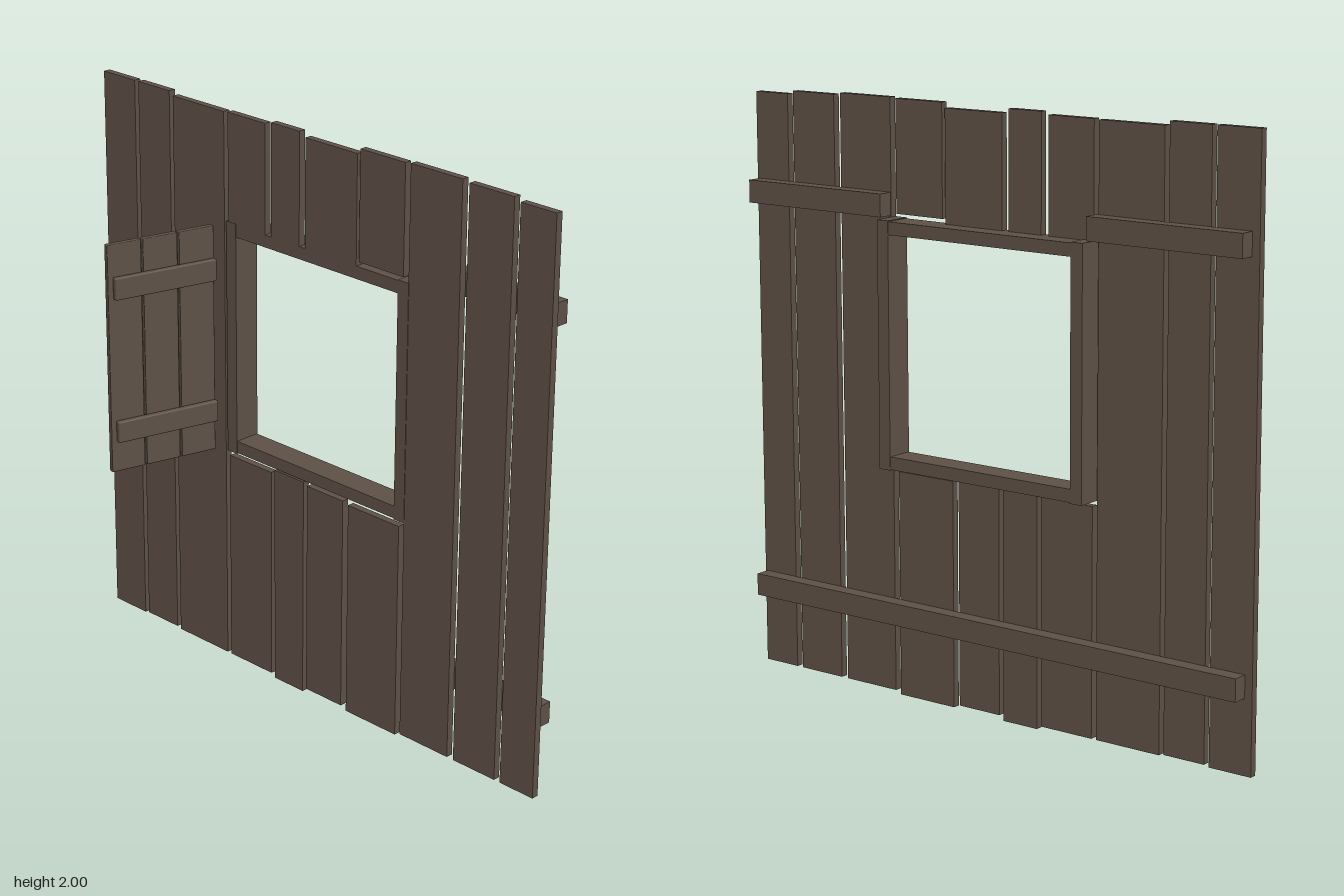
import * as THREE from 'three';
import { RoundedBoxGeometry } from 'three/addons/geometries/RoundedBoxGeometry.js';

const wood = new THREE.MeshStandardMaterial({ color: 0x5e5146 });
wood.name = 'weathered wood';

// Box given by its extents on each axis
function beam(parent, name, [x0, x1], [y0, y1], [z0, z1], bevel = 0) {
  const size = [x1 - x0, y1 - y0, z1 - z0];
  const geometry = bevel
    ? new RoundedBoxGeometry(...size, 1, bevel)
    : new THREE.BoxGeometry(...size);
  const mesh = new THREE.Mesh(geometry, wood);
  mesh.name = name;
  mesh.position.set((x0 + x1) / 2, (y0 + y1) / 2, (z0 + z1) / 2);
  parent.add(mesh);
}

function group(parent, name) {
  const g = new THREE.Group();
  g.name = name;
  parent.add(g);
  return g;
}

export function createModel() {
  const model = new THREE.Group();
  model.name = 'plankWallWithWindow';

  // Wall planks of uneven width and height: x0, x1, y0, y1
  const planks = group(model, 'wallPlanks');
  const plankZ = [-0.188, -0.163];
  const layout = [
    // full height, either side of the window
    [-0.997, -0.843, 0.012, 1.997], [-0.825, -0.673, 0.017, 1.997], [-0.656, -0.413, 0.012, 1.983],
    [0.413, 0.625, 0.016, 2.0], [0.652, 0.83, 0.016, 1.994], [0.854, 0.993, 0.016, 1.983],
    // above the window
    [-0.395, -0.222, 1.605, 1.985], [-0.194, -0.066, 1.605, 1.994],
    [-0.04, 0.188, 1.605, 1.979], [0.2, 0.391, 1.625, 1.997],
    // below the window
    [-0.395, -0.194, 0.012, 0.773], [-0.178, -0.042, 0, 0.787],
    [-0.025, 0.14, 0.016, 0.778], [0.164, 0.391, 0.005, 0.771],
  ];
  layout.forEach(([x0, x1, y0, y1], i) => beam(planks, `plank${i + 1}`, [x0, x1], [y0, y1], plankZ));

  // Rails across the back
  const rails = group(model, 'backRails');
  const railZ = [-0.24, -0.188];
  beam(rails, 'lowerRail', [-0.97, 0.985], [0.26, 0.335], railZ);
  beam(rails, 'upperRailRight', [-0.97, -0.403], [1.617, 1.693], railZ);
  beam(rails, 'upperRailLeft', [0.415, 0.985], [1.617, 1.693], railZ);

  // Window frame
  const frame = group(model, 'windowFrame');
  const frameY = [0.79, 1.612];
  beam(frame, 'frameJambRight', [-0.403, -0.358], frameY, [-0.257, -0.161]);
  beam(frame, 'frameJambLeft', [0.37, 0.415], frameY, [-0.257, -0.161]);
  beam(frame, 'frameSill', [-0.358, 0.37], [0.793, 0.836], [-0.255, -0.163]);
  beam(frame, 'frameHead', [-0.358, 0.37], [1.566, 1.609], [-0.255, -0.163]);

  // Open shutter, swung forward; built along its own z axis
  const shutter = group(model, 'shutter');
  shutter.position.set(-0.479, 0, 0.066);
  shutter.rotation.y = -THREE.MathUtils.degToRad(14.5);
  [[0.073, 0.196], [-0.06, 0.066], [-0.195, -0.067]].forEach((z, i) =>
    beam(shutter, `shutterBoard${i + 1}`, [-0.011, 0.011], [0.802, 1.602], z, 0.003));
  [[0.912, 0.987], [1.415, 1.492]].forEach((y, i) =>
    beam(shutter, `shutterBatten${i + 1}`, [0.011, 0.033], y, [-0.195, 0.18], 0.005));

  return model;
}
